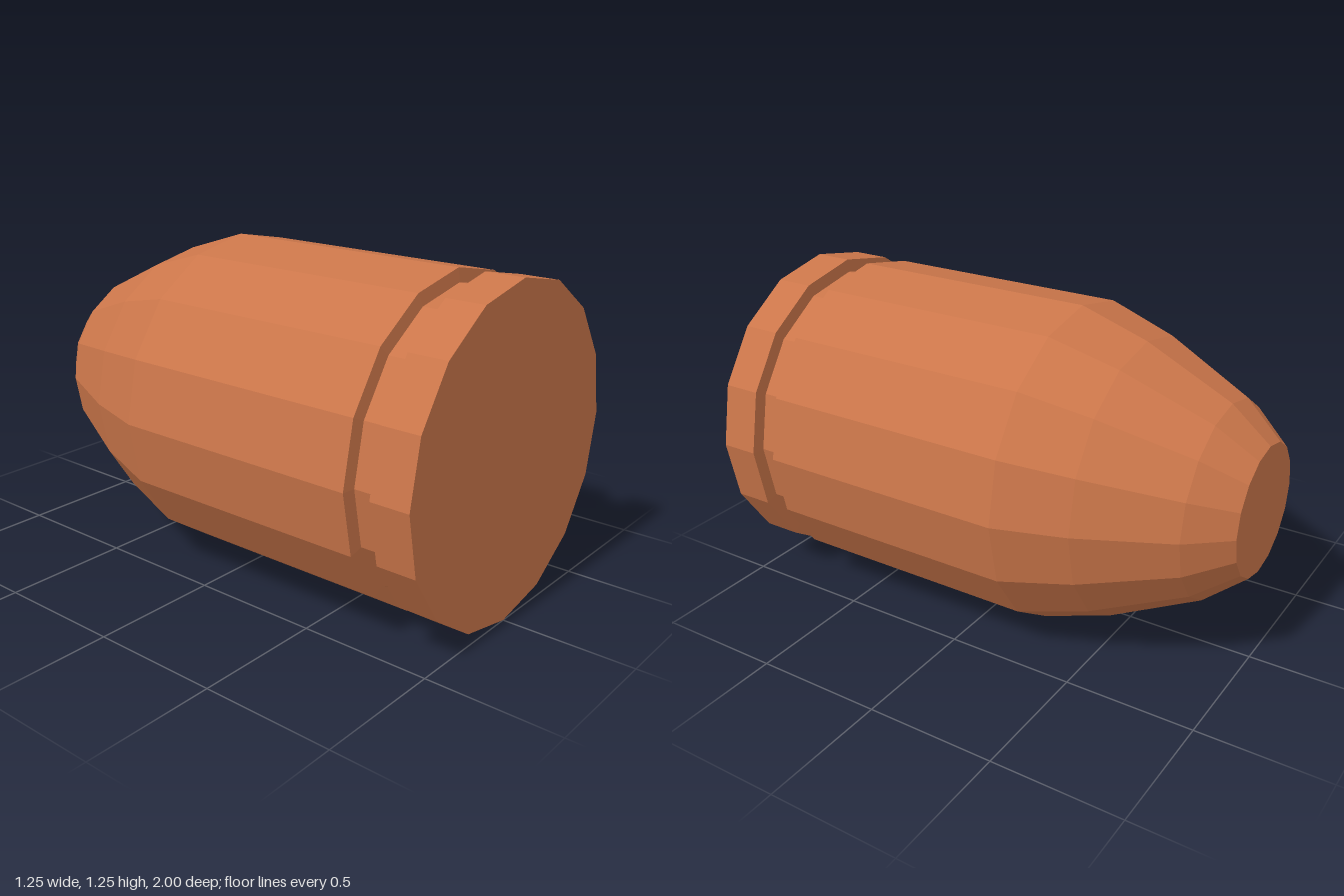
import * as THREE from 'three';

const SIDES = 16;
const RADIUS = 0.623;
const GROOVE = 0.572;

export function createModel() {
  const model = new THREE.Group();
  model.name = 'bullet';
  const copper = new THREE.MeshStandardMaterial({ color: 0xcb764a, flatShading: true });

  // Turn a [radius, z] profile, listed from front to back, around the z axis
  const addTurned = (name, profile) => {
    const points = profile.map(([r, z]) => new THREE.Vector2(r, -z));
    const geometry = new THREE.LatheGeometry(points, SIDES);
    geometry.rotateX(-Math.PI / 2);
    const mesh = new THREE.Mesh(geometry, copper);
    mesh.name = name;
    mesh.position.y = RADIUS;
    model.add(mesh);
  };

  // Flat base with its rim
  addTurned('baseRim', [[0, 1], [RADIUS, 1], [RADIUS, 0.85]]);

  // Recessed groove with both shoulders
  addTurned('extractorGroove', [[RADIUS, 0.85], [GROOVE, 0.847], [GROOVE, 0.753], [RADIUS, 0.747]]);

  // Straight casing
  addTurned('casing', [[RADIUS, 0.747], [RADIUS, -0.25]]);

  // Tapered nose with a flat tip
  addTurned('nose', [[RADIUS, -0.25], [0.537, -0.515], [0.375, -0.85], [0.25, -1], [0, -1]]);

  return model;
}
